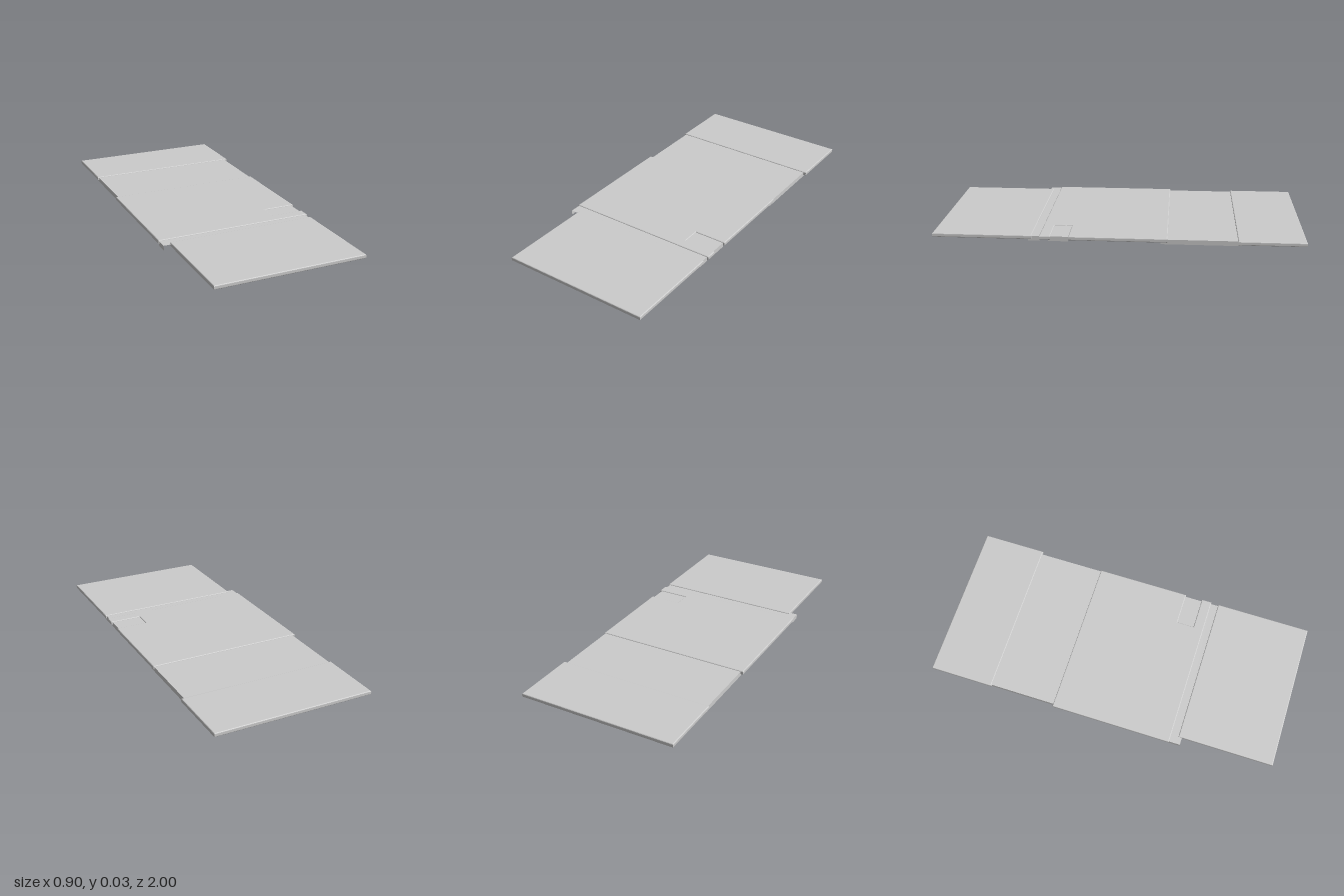
import * as THREE from 'three';

const BOTTOM = 0.009, TOP = 0.031, BEVEL = 0.005, TRAY_TOP = 0.026;

const grey = new THREE.MeshStandardMaterial({ color: 0xcccccc });
const sheet = new THREE.MeshStandardMaterial({ color: 0xcccccc, side: THREE.DoubleSide });

// Flat panel with softened edges, from an outline of [x, z] corners
function panel(name, corners) {
  const shape = new THREE.Shape(corners.map(([x, z]) => new THREE.Vector2(x, z)));
  const geometry = new THREE.ExtrudeGeometry(shape, {
    depth: TOP - BOTTOM - 2 * BEVEL,
    bevelThickness: BEVEL, bevelSize: BEVEL, bevelOffset: -BEVEL, bevelSegments: 3,
  });
  geometry.rotateX(Math.PI / 2);
  geometry.translate(0, TOP - BEVEL, 0);
  const mesh = new THREE.Mesh(geometry, grey);
  mesh.name = name;
  return mesh;
}

const rect = (x0, x1, z0, z1) => [[x0, z0], [x1, z0], [x1, z1], [x0, z1]];

// Thin sheet folded down to the ground along its two x edges
function tray(name, x0, x1, z0, z1) {
  const group = new THREE.Group();
  group.name = name;
  const zMid = (z0 + z1) / 2;

  const top = new THREE.Mesh(new THREE.PlaneGeometry(x1 - x0, z1 - z0).rotateX(-Math.PI / 2), sheet);
  top.position.set((x0 + x1) / 2, TRAY_TOP, zMid);
  top.name = 'traySheet';
  group.add(top);

  for (const [x, turn] of [[x0, -1], [x1, 1]]) {
    const flange = new THREE.Mesh(new THREE.PlaneGeometry(z1 - z0, TRAY_TOP), sheet);
    flange.rotation.y = turn * Math.PI / 2;
    flange.position.set(x, TRAY_TOP / 2, zMid);
    flange.name = 'trayFlange';
    group.add(flange);
  }
  return group;
}

export function createModel() {
  const model = new THREE.Group();
  model.name = 'foldedPanels';

  // Three raised panels, the middle one notched on its +x edge
  model.add(
    panel('backPanel', rect(-0.443, 0.447, -1, -0.64)),
    panel('middlePanel', [
      [-0.45, -0.268], [0.435, -0.268], [0.435, 0.262], [0.253, 0.262],
      [0.253, 0.359], [0.435, 0.359], [0.435, 0.418], [-0.45, 0.418],
    ]),
    panel('frontPanel', rect(-0.404, 0.432, 0.46, 1)),
  );

  // Folded sheets bridging the gaps and filling the notch
  model.add(
    tray('backTray', -0.435, 0.43, -0.66, -0.23),
    tray('frontTray', -0.446, 0.425, 0.415, 0.48),
    tray('notchTray', 0.08, 0.425, 0.262, 0.37),
  );
  return model;
}
